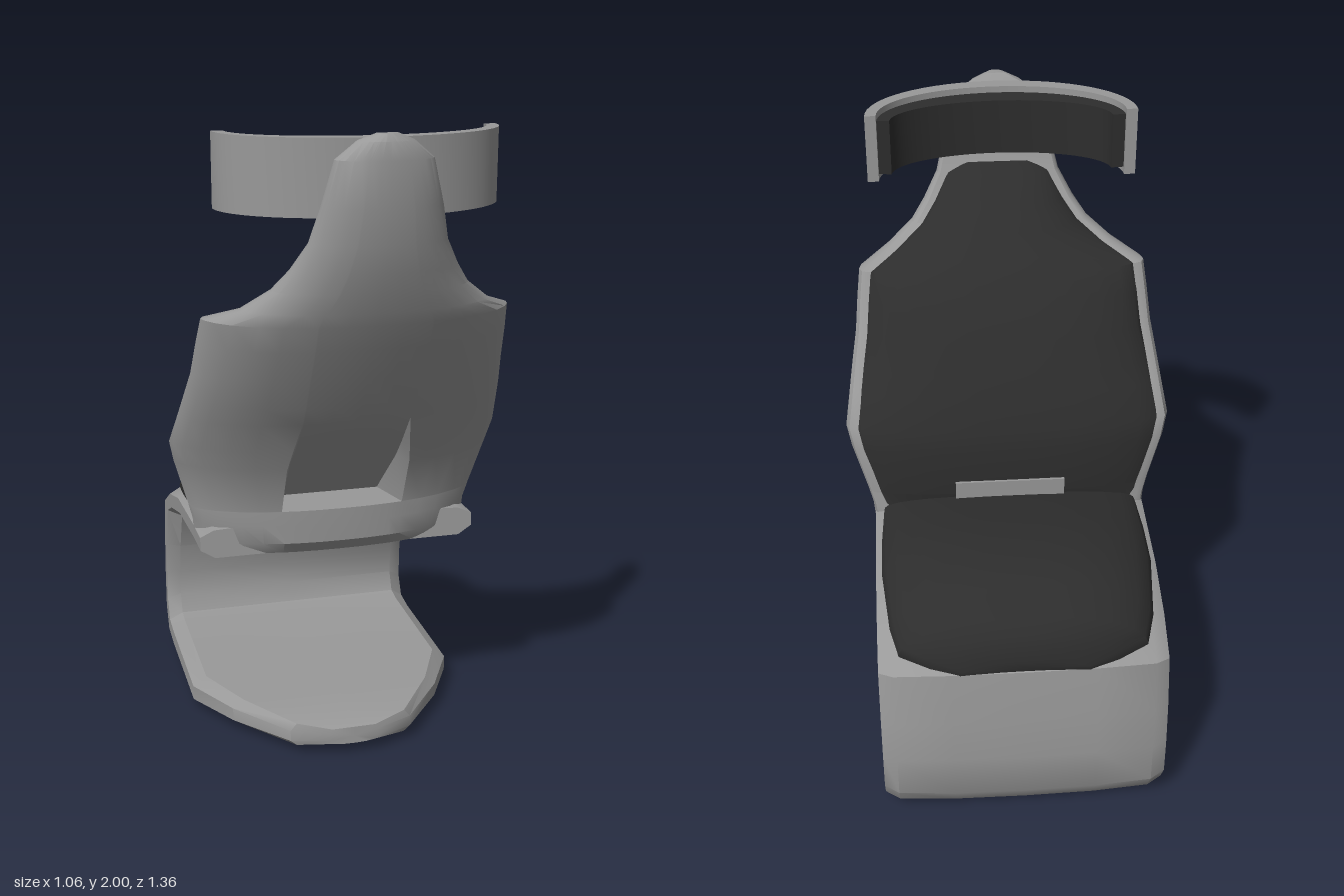
import * as THREE from 'three';
import { toCreasedNormals } from 'three/addons/utils/BufferGeometryUtils.js';

// Closed solid through rings of equal point count, capped at both ends, faces outward
function loft(rings, crease = 0.6) {
  const n = rings[0].length, P = rings.flat(), tris = [];
  rings.slice(1).forEach((_, r) => {
    for (let i = 0; i < n; i++) {
      const a = r * n + i, b = r * n + (i + 1) % n;
      tris.push([a, b, b + n], [a, b + n, a + n]);
    }
  });
  [0, rings.length - 1].forEach((r, end) => {
    const ring = rings[r];
    P.push([0, 1, 2].map(k => ring.reduce((s, p) => s + p[k], 0) / n));
    for (let i = 0; i < n; i++) {
      const a = r * n + i, b = r * n + (i + 1) % n;
      tris.push(end ? [a, b, P.length - 1] : [b, a, P.length - 1]);
    }
  });
  // the sign of the volume decides the corner order
  const v = P.map(p => new THREE.Vector3(...p));
  const volume = tris.reduce((s, t) => s + v[t[0]].dot(v[t[1]].clone().cross(v[t[2]])), 0);
  const pos = tris.flatMap(t => (volume < 0 ? [t[0], t[2], t[1]] : t).flatMap(i => P[i]));
  const g = new THREE.BufferGeometry();
  g.setAttribute('position', new THREE.Float32BufferAttribute(pos, 3));
  return toCreasedNormals(g, crease);
}

const lerp = THREE.MathUtils.lerp;
const U = [-1, -0.97, -0.88, -0.7, -0.45, -0.2, 0, 0.2, 0.45, 0.7, 0.88, 0.97, 1];

// Cantilever ribbon: outer z, y, inner z, y, half width
function ribbon() {
  const stations = [
    [0.355, 0.035, 0.35, 0.09, 0.08], [0.31, 0.02, 0.31, 0.105, 0.2],
    [0.12, 0.01, 0.12, 0.112, 0.35], [-0.07, 0, -0.07, 0.115, 0.45],
    [-0.5, 0.005, -0.5, 0.125, 0.45], [-0.63, 0.02, -0.56, 0.135, 0.45],
    [-0.68, 0.1, -0.59, 0.2, 0.45], [-0.68, 0.25, -0.585, 0.29, 0.45],
    [-0.67, 0.4, -0.56, 0.4, 0.45], [-0.645, 0.58, -0.5, 0.54, 0.45],
    [-0.5, 0.665, -0.42, 0.57, 0.45], [-0.3, 0.72, -0.24, 0.615, 0.45],
    [0.03, 0.74, 0, 0.635, 0.45], [0.15, 0.74, 0.16, 0.64, 0.45]];
  const section = [[-0.9, 0.1], [-0.5, 0.02], [0, 0], [0.5, 0.02], [0.9, 0.1], [1, 0.3],
    [1, 0.72], [0.9, 1], [0, 1], [-0.9, 1], [-1, 0.72], [-1, 0.3]];
  return loft(stations.map(([oz, oy, iz, iy, w]) =>
    section.map(([u, t]) => [u * w, lerp(oy, iy, t), lerp(oz, iz, t)])));
}

// Backrest: y, half width, rear z, rim z, cushion z
const BACK = [
  [0.64, 0.44, 0.18, 0.02], [0.68, 0.45, 0.21, 0.015], [0.74, 0.455, 0.212, 0.02, 0.01],
  [0.789, 0.468, 0.212, 0.03, 0.0], [0.79, 0.468, 0.212, 0.03, 0.0],
  [0.95, 0.515, 0.285, 0.05, 0.0], [1.02, 0.53, 0.32, 0.07, 0.02],
  [1.12, 0.513, 0.375, 0.14, 0.06], [1.18, 0.503, 0.415, 0.18, 0.09],
  [1.28, 0.485, 0.47, 0.24, 0.14], [1.38, 0.475, 0.53, 0.285, 0.2],
  [1.46, 0.465, 0.57, 0.32, 0.265], [1.5, 0.37, 0.59, 0.41, 0.3],
  [1.56, 0.29, 0.612, 0.46, 0.355], [1.62, 0.245, 0.635, 0.5, 0.41],
  [1.7, 0.2, 0.655, 0.54, 0.51], [1.8, 0.175, 0.672, 0.575],
  [1.93, 0.14, 0.68, 0.595], [1.98, 0.08, 0.675, 0.61], [2, 0.03, 0.66, 0.63]];

function backShell() {
  return loft(BACK.map(([y, w, zb, zr]) => {
    const inRecess = y >= 0.79 && y < 1.12;
    const k = THREE.MathUtils.clamp((y - 0.79) / 0.33, 0, 1);
    const xo = Math.min(lerp(0.22, 0.17, k), 0.42 * w);   // recess mouth
    const xi = xo - Math.min(0.04 * (1 - k) + 0.004, 0.2 * xo); // recess floor
    const rear = x => lerp(zr + 0.03 * Math.min(1, w * 4), zb,
      Math.pow(Math.max(0, 1 - Math.pow(Math.abs(x) / w, 2.3)), 0.6));
    const floor = lerp(0.05, 0.375, k);
    const half = [w, 0.985 * w, 0.94 * w, 0.85 * w, 0.7 * w, 0.56 * w, xo]
      .map(x => [x, y, rear(x)]);
    half.push(...[xi, xi / 2].map(x => [x, y, inRecess ? floor : rear(x)]));
    half.unshift([0.94 * w, y, zr], [0.98 * w, y, zr + 0.008]);
    const mirror = half.map(([x, yy, z]) => [-x, yy, z]).reverse();
    return [...half, [0, y, inRecess ? floor : rear(0)], ...mirror];
  }), 0.55);
}

function backCushion() {
  const rows = BACK.filter(r => r.length > 4).map(([y, w, , zr, zp]) => [y, w - 0.035, zr, zp]);
  rows.push([1.73, 0.11, 0.552, 0.545]);
  return loft(rows.map(([y, w, zr, zp]) => [
    ...U.map(u => [u * w, y, lerp(zr + 0.003, zp, Math.pow(1 - Math.pow(Math.abs(u), 3), 0.7))]),
    [w, y, zr + 0.015], [-w, y, zr + 0.015]]), 0.7);
}

// Seat cushion: z, half width, rim y, top y
function seatCushion() {
  const rows = [[0.08, 0.41, 0.73, 0.765], [0, 0.42, 0.735, 0.78], [-0.15, 0.428, 0.73, 0.805],
    [-0.3, 0.43, 0.715, 0.82], [-0.5, 0.41, 0.66, 0.8], [-0.58, 0.385, 0.62, 0.74],
    [-0.62, 0.29, 0.597, 0.705], [-0.645, 0.2, 0.585, 0.62]];
  return loft(rows.map(([z, w, rim, top]) => [
    ...U.map(u => [u * w, lerp(rim, top, Math.pow(1 - Math.pow(Math.abs(u), 3), 0.65)), z]),
    [w, rim - 0.035, z + 0.01], [-w, rim - 0.035, z + 0.01]]), 0.7);
}

// Half-elliptical band around the head, opening to the sitter
function band(outer, inner, y0, y1, a0) {
  const rings = [];
  for (let i = 0; i <= 32; i++) {
    const a = lerp(a0, Math.PI - a0, i / 32);
    const at = ([rx, rz], y) => [rx * Math.cos(a), y, 0.33 + rz * Math.sin(a)];
    rings.push([at(outer, y0), at(outer, y1), at(inner, y1), at(inner, y0)]);
  }
  return loft(rings);
}

export function createModel() {
  const shell = new THREE.MeshStandardMaterial({ color: 0x999999 });
  shell.name = 'shell grey';
  const fabric = new THREE.MeshStandardMaterial({ color: 0x2d2d2d });
  fabric.name = 'cushion charcoal';
  const model = new THREE.Group();
  model.name = 'cantileverChair';
  const add = (name, geometry, material) => {
    const mesh = new THREE.Mesh(geometry, material);
    mesh.name = name;
    model.add(mesh);
    return mesh;
  };

  add('baseAndSeatShell', ribbon(), shell);
  add('seatCushion', seatCushion(), fabric);
  add('backShell', backShell(), shell);
  add('backCushion', backCushion(), fabric);
  // strip of shell showing between the cushions
  add('lumbarStrip', new THREE.BoxGeometry(0.36, 0.07, 0.009), shell).position.set(0, 0.805, -0.004);
  add('headrestBand', band([0.42, 0.27], [0.385, 0.22], 1.77, 1.985, 0), shell);
  add('headrestPad', band([0.388, 0.223], [0.345, 0.15], 1.79, 1.965, 0.05), fabric);
  return model;
}
